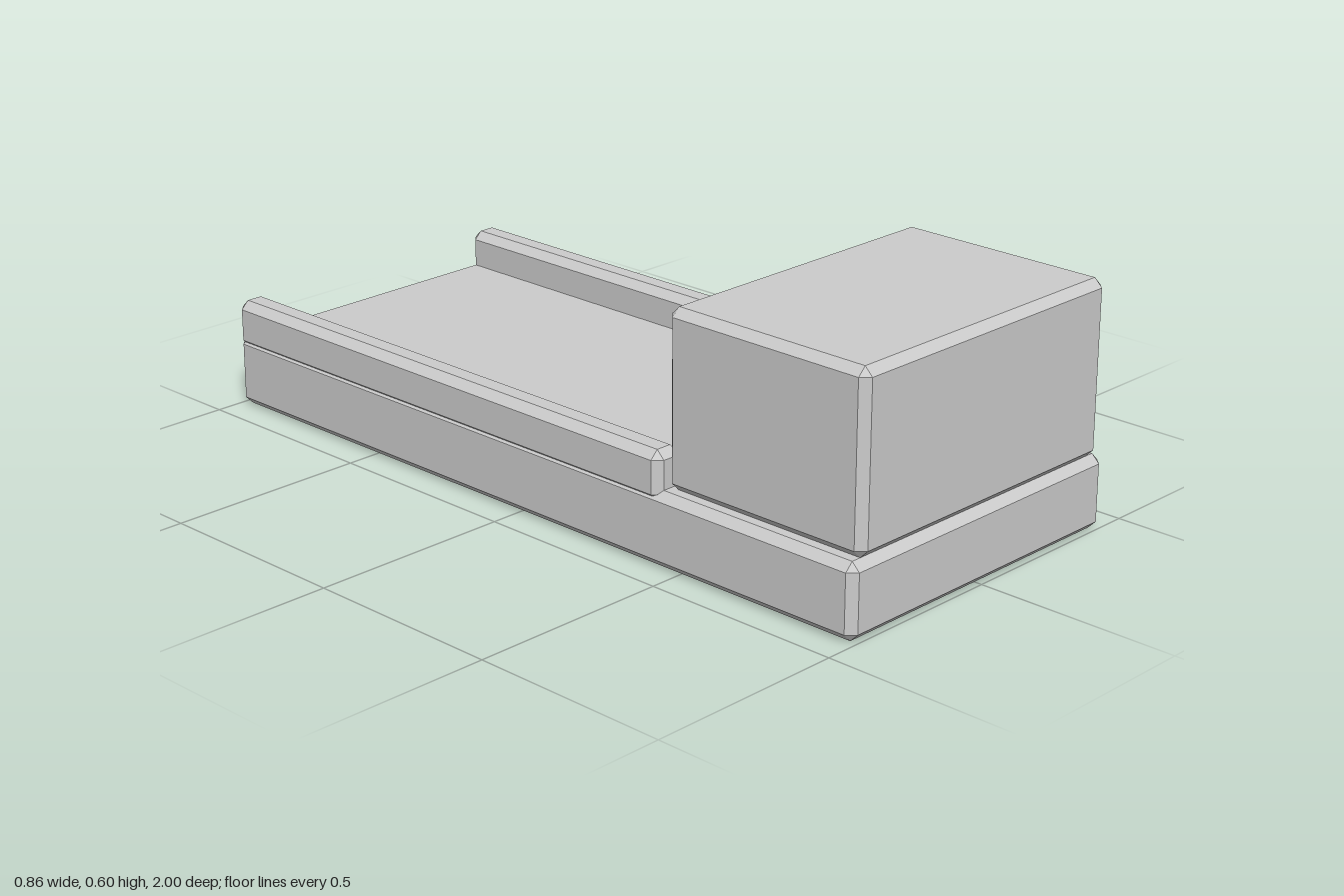
import * as THREE from 'three';
import { ConvexGeometry } from 'three/addons/geometries/ConvexGeometry.js';

const CHAMFER = 0.02;
const material = new THREE.MeshStandardMaterial({ color: 0xcccccc, flatShading: true });

// Box with every edge and corner cut by a flat chamfer, given by its min and max corners
function chamferedBox(name, min, max) {
  const half = min.map((v, i) => (max[i] - v) / 2);
  const points = [];
  for (const sx of [-1, 1]) for (const sy of [-1, 1]) for (const sz of [-1, 1]) {
    // each corner becomes three points, one on each adjoining face
    for (let face = 0; face < 3; face++) {
      const p = [sx, sy, sz].map((s, i) => s * (half[i] - (i === face ? 0 : CHAMFER)));
      points.push(new THREE.Vector3(...p));
    }
  }
  const mesh = new THREE.Mesh(new ConvexGeometry(points), material);
  mesh.name = name;
  mesh.position.set(...min.map((v, i) => v + half[i]));
  return mesh;
}

export function createModel() {
  const model = new THREE.Group();
  model.name = 'flatbed';

  // Long base slab
  model.add(chamferedBox('base', [-0.43, 0, -1], [0.43, 0.18, 1]));

  // Tall block at the front
  model.add(chamferedBox('cab', [-0.405, 0.18, 0.445], [0.405, 0.6, 1]));

  // Low rails along both edges, sunk slightly into the base
  model.add(chamferedBox('leftRail', [0.35, 0.15, -1], [0.43, 0.27, 0.445]));
  model.add(chamferedBox('rightRail', [-0.43, 0.15, -1], [-0.35, 0.27, 0.445]));

  return model;
}
